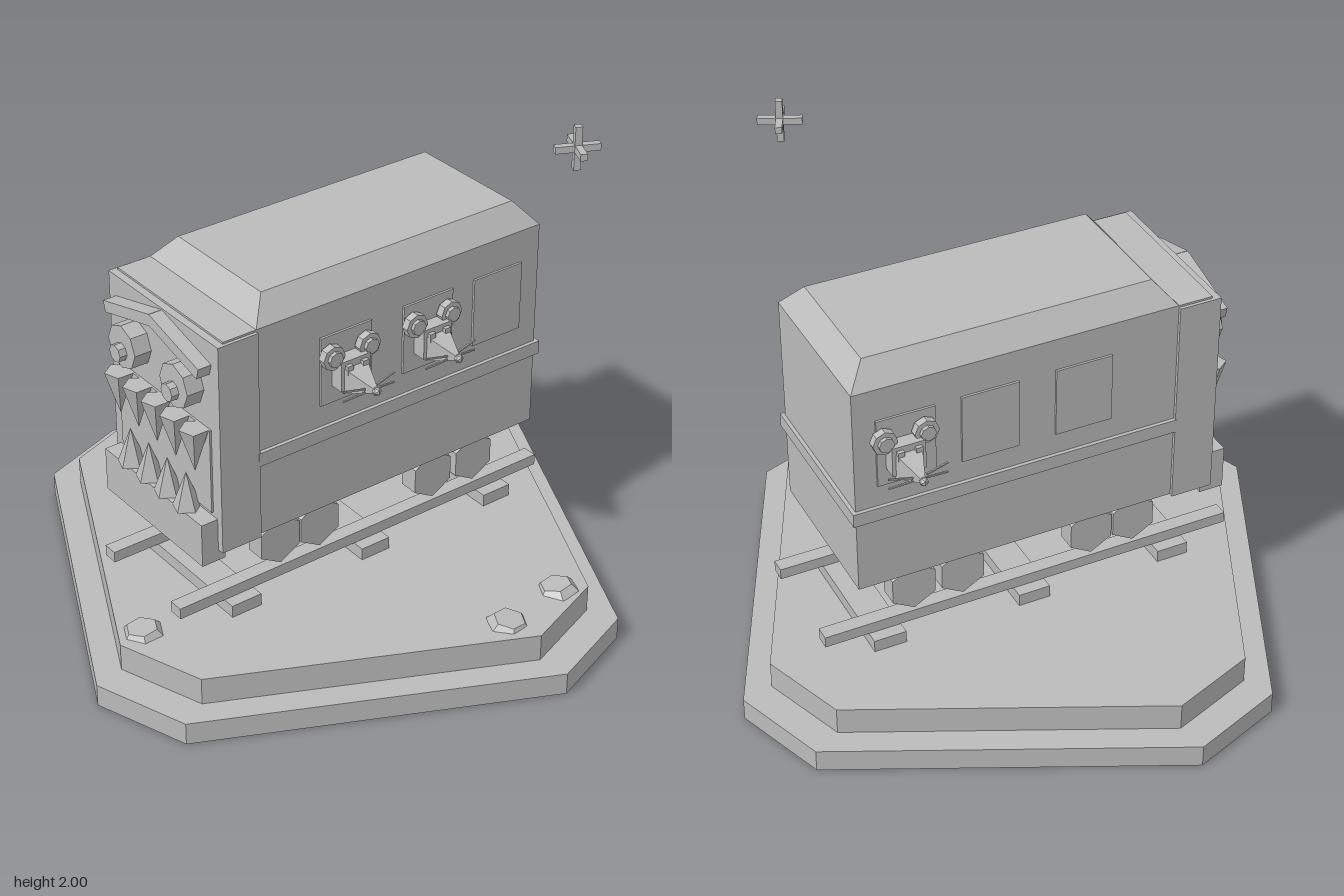
import * as THREE from 'three';

const grey = new THREE.MeshStandardMaterial({ color: 0xbbbbbb, flatShading: true });
grey.name = 'plain grey';

function add(parent, name, geometry, x = 0, y = 0, z = 0) {
  const mesh = new THREE.Mesh(geometry, grey);
  mesh.name = name;
  mesh.position.set(x, y, z);
  parent.add(mesh);
  return mesh;
}

// Box given by its extents along each axis
function block(parent, name, [x0, x1], [y0, y1], [z0, z1]) {
  return add(parent, name, new THREE.BoxGeometry(x1 - x0, y1 - y0, z1 - z0),
    (x0 + x1) / 2, (y0 + y1) / 2, (z0 + z1) / 2);
}

// Square slab with cut corners
function slab(parent, name, half, corner, y0, y1) {
  const points = [[half, corner], [corner, half], [-corner, half], [-half, corner],
    [-half, -corner], [-corner, -half], [corner, -half], [half, -corner]];
  const shape = new THREE.Shape(points.map(([x, z]) => new THREE.Vector2(x, z)));
  const geo = new THREE.ExtrudeGeometry(shape, { depth: y1 - y0, bevelEnabled: false });
  geo.rotateX(-Math.PI / 2);
  add(parent, name, geo, 0, y0, 0);
}

// Prism whose axis lies along z, standing on a corner
const prismZ = (r, depth, sides) => new THREE.CylinderGeometry(r, r, depth, sides).rotateX(Math.PI / 2);
// Prism whose axis lies along x
const prismX = (r, depth, sides) => new THREE.CylinderGeometry(r, r, depth, sides).rotateZ(Math.PI / 2);

// Mouse looking out along +z, with z = 0 on the wall
function makeMouse() {
  const mouse = new THREE.Group();
  mouse.name = 'mouse';
  block(mouse, 'mouseHead', [-0.065, 0.065], [1.06, 1.18], [-0.02, 0.06]);
  const snout = new THREE.CylinderGeometry(0.012, 0.075, 0.12, 4, 1).rotateY(Math.PI / 4).rotateX(Math.PI / 2);
  add(mouse, 'mouseSnout', snout, 0, 1.1, 0.115);
  add(mouse, 'mouseNose', new THREE.IcosahedronGeometry(0.018), 0, 1.1, 0.18);
  for (const side of [-1, 1]) {
    add(mouse, 'mouseEar', prismZ(0.048, 0.03, 8), side * 0.08, 1.195, 0.025);
    add(mouse, 'mouseInnerEar', prismZ(0.03, 0.015, 8), side * 0.08, 1.195, 0.047);
    block(mouse, 'mouseEye', [side * 0.035 - 0.013, side * 0.035 + 0.013], [1.13, 1.165], [0.06, 0.075]);
    for (const tilt of [-0.15, 0.15]) {
      const whisker = add(mouse, 'mouseWhisker', new THREE.BoxGeometry(0.09, 0.006, 0.006),
        side * 0.07, 1.095 + tilt * 0.09, 0.14);
      whisker.rotation.set(0, side * 0.15, side * tilt);
    }
  }
  return mouse;
}

export function createModel() {
  const model = new THREE.Group();
  model.name = 'trainDiorama';

  // Stepped base with cut corners
  slab(model, 'lowerBase', 0.98, 0.7, 0, 0.09);
  slab(model, 'upperBase', 0.88, 0.625, 0.09, 0.2);

  // Flat stones
  for (const [x, z, tiltX, tiltZ] of [[-0.79, 0.56, 0, 0.08], [0.53, 0.78, 0.08, -0.12], [0.76, 0.61, -0.1, 0.14]]) {
    const stone = add(model, 'stone', new THREE.CylinderGeometry(0.06, 0.085, 0.03, 6), x, 0.205, z);
    stone.rotation.set(tiltX, 0, tiltZ);
  }

  // Floating star of three crossed bars
  for (const size of [[0.165, 0.026, 0.026], [0.026, 0.165, 0.026], [0.026, 0.026, 0.165]]) {
    add(model, 'starBar', new THREE.BoxGeometry(...size), 0.812, 1.918, 0.397);
  }

  // Train and track, turned on the base; the front end faces local -x
  const train = new THREE.Group();
  train.name = 'trainAndTrack';
  train.position.set(0.02, 0, -0.01);
  train.rotation.y = 0.44;
  model.add(train);

  // Track
  for (const x of [-0.6, 0, 0.6]) block(train, 'sleeper', [x - 0.065, x + 0.065], [0.2, 0.25], [-0.3, 0.3]);
  for (const z of [-0.22, 0.22]) block(train, 'rail', [-0.86, 0.84], [0.25, 0.295], [z - 0.03, z + 0.03]);

  // Bogies and six-sided wheels
  for (const x of [-0.34, 0.39]) block(train, 'bogie', [x - 0.14, x + 0.14], [0.48, 0.545], [-0.2, 0.2]);
  for (const x of [-0.43, -0.25, 0.29, 0.49]) {
    for (const z of [-0.24, 0.24]) add(train, 'wheel', prismZ(0.1, 0.08, 6), x, 0.436, z);
    add(train, 'axle', prismZ(0.02, 0.42, 6), x, 0.436, 0);
  }

  // Carriage, belt and cab
  block(train, 'carriage', [-0.7, 0.73], [0.545, 1.4], [-0.33, 0.33]).scale.y = 1;
  block(train, 'belt', [-0.565, 0.745], [0.845, 0.9], [-0.345, 0.345]);
  block(train, 'cab', [-0.73, -0.56], [0.54, 1.392], [-0.343, 0.343]);
  block(train, 'bumper', [-0.8, -0.7], [0.495, 0.672], [-0.315, 0.315]);

  // Roof with sloping sides
  const roof = new THREE.BoxGeometry(1.29, 0.09, 0.66);
  const p = roof.attributes.position;
  for (let i = 0; i < p.count; i++) {
    if (p.getY(i) > 0) {
      p.setX(i, p.getX(i) - Math.sign(p.getX(i)) * 0.075);
      p.setZ(i, p.getZ(i) - Math.sign(p.getZ(i)) * 0.075);
    }
  }
  roof.computeVertexNormals();
  add(train, 'roof', roof, 0.085, 1.445, 0);

  // Windows, with mice looking out of some
  for (const x of [-0.175, 0.2, 0.53]) {
    for (const side of [-1, 1]) {
      add(train, 'window', new THREE.BoxGeometry(0.228, 0.28, 0.009), x, 1.13, side * 0.3345);
    }
  }
  for (const [x, side] of [[-0.175, 1], [0.2, 1], [0.545, -1]]) {
    const mouse = makeMouse();
    mouse.position.set(x, 0, side * 0.335);
    if (side < 0) mouse.rotation.y = Math.PI;
    train.add(mouse);
  }

  // Eyes and brows on the front
  for (const side of [-1, 1]) {
    add(train, 'eye', prismX(0.087, 0.08, 8), -0.76, 1.182, side * 0.165);
    add(train, 'pupil', prismX(0.035, 0.03, 8), -0.815, 1.165, side * 0.165);
    const brow = add(train, 'brow', new THREE.BoxGeometry(0.06, 0.045, 0.31), -0.755, 1.325, side * 0.145);
    brow.rotation.x = side * 0.26;
  }

  // Mouth with pointed teeth
  block(train, 'mouth', [-0.738, -0.73], [0.69, 1.035], [-0.29, 0.29]);
  for (let i = 0; i < 5; i++) {
    const z = -0.24 + i * 0.12;
    add(train, 'upperTooth', new THREE.ConeGeometry(0.055, 0.18, 5).rotateX(Math.PI), -0.77, 0.945, z);
    if (i < 4) add(train, 'lowerTooth', new THREE.ConeGeometry(0.055, 0.15, 5), -0.77, 0.745, z + 0.06);
  }
  return model;
}
